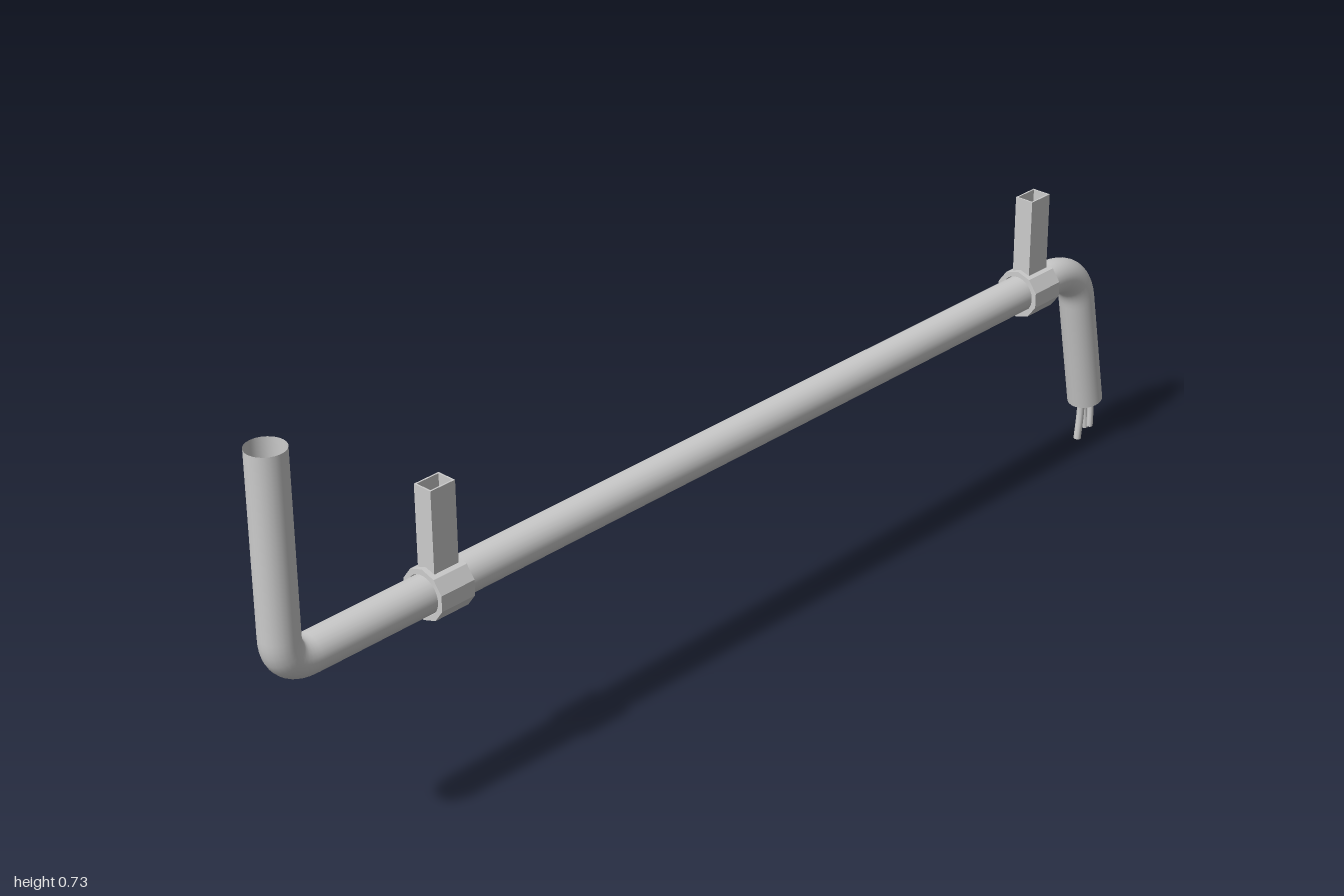
import * as THREE from 'three';

const grey = new THREE.MeshStandardMaterial({ color: 0xcccccc, side: THREE.DoubleSide });
const flatGrey = new THREE.MeshStandardMaterial({ color: 0xcccccc, side: THREE.DoubleSide, flatShading: true });
const V = (x, y, z) => new THREE.Vector3(x, y, z);

const AXIS_Y = 0.37;
const PIPE_R = 0.0325;

function addMesh(parent, name, geometry, material = grey) {
  const mesh = new THREE.Mesh(geometry, material);
  mesh.name = name;
  parent.add(mesh);
  return mesh;
}

// Open pipe: riser, tight bend, long run, wide bend, slanted outlet
function pipeGeometry() {
  const path = new THREE.CurvePath();
  const a = V(0, 0.73, 0.9675), b = V(0, 0.42, 0.9675), c = V(0, AXIS_Y, 0.915);
  const d = V(0, AXIS_Y, -0.83), e = V(0, 0.3, -0.925), f = V(0, 0.08, -0.967);
  path.add(new THREE.LineCurve3(a, b));
  path.add(new THREE.QuadraticBezierCurve3(b, V(0, AXIS_Y, 0.9675), c));
  path.add(new THREE.LineCurve3(c, d));
  path.add(new THREE.QuadraticBezierCurve3(d, V(0, AXIS_Y, -0.912), e));
  path.add(new THREE.LineCurve3(e, f));
  return new THREE.TubeGeometry(path, 260, PIPE_R, 24, false);
}

// Ten-sided clamp ring with a hollow square post on top
function bracket(z) {
  const group = new THREE.Group();
  group.name = 'bracket';
  const width = 0.068, sides = 10, R = 0.044;

  const ring = new THREE.Shape();
  for (let i = 0; i < sides; i++) {
    const t = -Math.PI / 2 + (i / sides) * Math.PI * 2;
    ring[i ? 'lineTo' : 'moveTo'](R * Math.cos(t), R * Math.sin(t));
  }
  ring.closePath();
  ring.holes.push(new THREE.Path().absarc(0, 0, PIPE_R + 0.001, 0, Math.PI * 2, true));
  const ringGeo = new THREE.ExtrudeGeometry(ring, { depth: width, bevelEnabled: false, curveSegments: 20 });
  addMesh(group, 'clampRing', ringGeo.translate(0, 0, -width / 2), flatGrey);

  const w = 0.018, d = 0.025, wall = 0.003;
  const rect = (shape, x, y) => shape.moveTo(-x, -y).lineTo(x, -y).lineTo(x, y).lineTo(-x, y).lineTo(-x, -y);
  const post = rect(new THREE.Shape(), w, d);
  post.holes.push(rect(new THREE.Path(), w - wall, d - wall));
  const postGeo = new THREE.ExtrudeGeometry(post, { depth: 0.143, bevelEnabled: false });
  addMesh(group, 'hollowPost', postGeo.rotateX(-Math.PI / 2).translate(0, 0.037, 0), flatGrey);

  group.position.set(0, AXIS_Y, z);
  return group;
}

// Thin wire with a capped tip, slightly kinked as it leaves the pipe
function wire(points, radius) {
  const group = new THREE.Group();
  group.name = 'wire';
  const curve = new THREE.CatmullRomCurve3(points);
  addMesh(group, 'wireStrand', new THREE.TubeGeometry(curve, 12, radius, 8, false));
  const cap = addMesh(group, 'wireTip', new THREE.CircleGeometry(radius, 8));
  cap.position.copy(curve.getPoint(1));
  cap.quaternion.setFromUnitVectors(V(0, 0, 1), curve.getTangent(1));
  return group;
}

export function createModel() {
  const model = new THREE.Group();
  model.name = 'bentConduit';

  addMesh(model, 'pipe', pipeGeometry());
  for (const z of [0.655, -0.78]) model.add(bracket(z));

  // Loose wires hanging from the slanted outlet
  const wires = new THREE.Group();
  wires.name = 'wires';
  wires.add(wire([V(0, 0.16, -0.944), V(0, 0.07, -0.956), V(0, 0.002, -0.95)], 0.007));
  wires.add(wire([V(0.016, 0.16, -0.95), V(0.016, 0.08, -0.964), V(0.018, 0.03, -0.962)], 0.006));
  wires.add(wire([V(-0.002, 0.16, -0.96), V(-0.004, 0.07, -0.972), V(-0.002, 0.016, -0.975)], 0.006));
  model.add(wires);

  return model;
}
